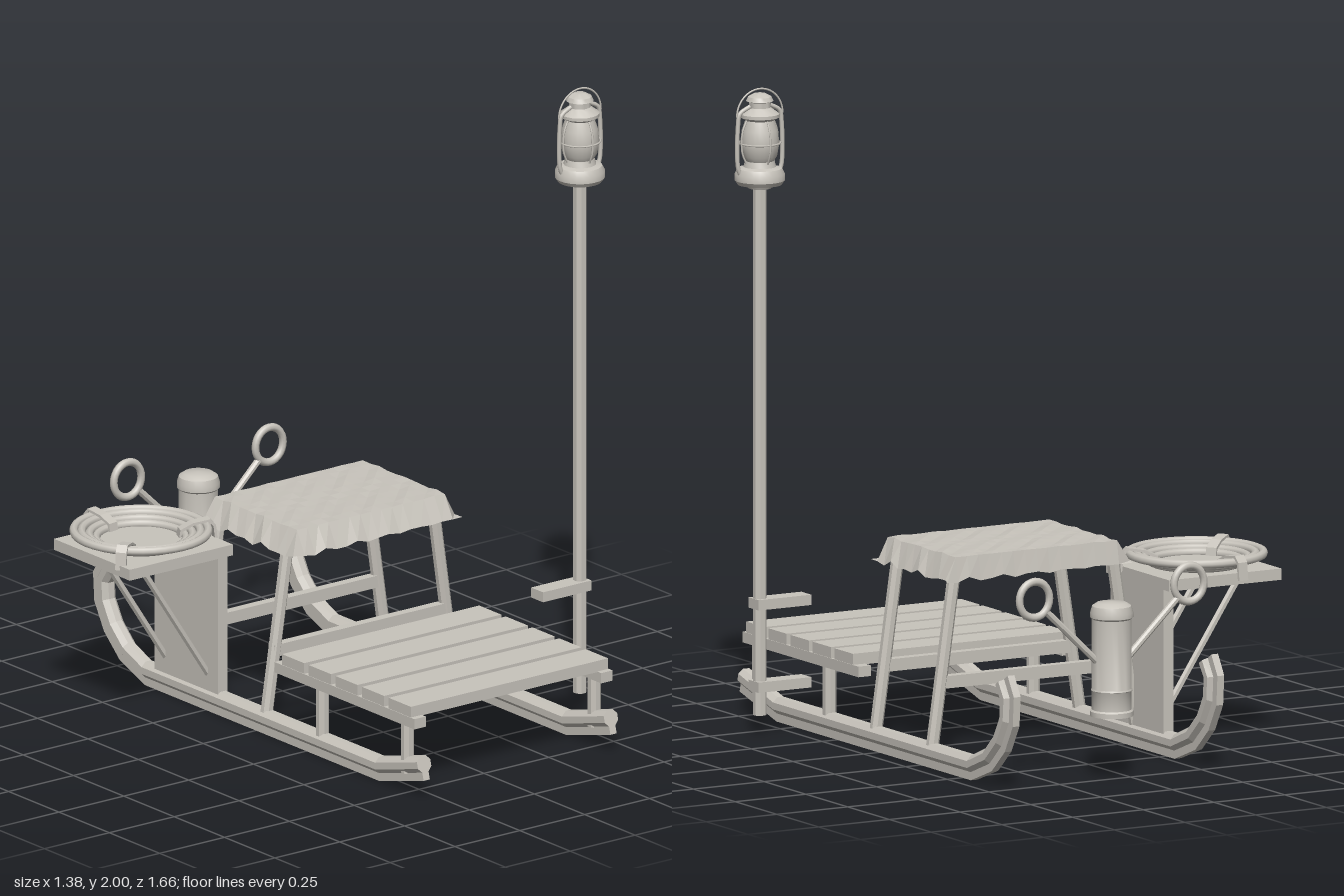
import * as THREE from 'three';
import { toCreasedNormals } from 'three/addons/utils/BufferGeometryUtils.js';

const grey = new THREE.MeshStandardMaterial({ color: 0xc8c4bc, side: THREE.DoubleSide });
grey.name = 'warmGrey';
const V = (x, y, z) => new THREE.Vector3(x, y, z);

function add(parent, name, geo, x = 0, y = 0, z = 0) {
  const m = new THREE.Mesh(geo, grey);
  m.name = name;
  m.position.set(x, y, z);
  parent.add(m);
  return m;
}

function group(parent, name, x = 0, y = 0, z = 0) {
  const g = new THREE.Group();
  g.name = name;
  g.position.set(x, y, z);
  parent.add(g);
  return g;
}

// box given by its min and max corners
function box(parent, name, x0, x1, y0, y1, z0, z1) {
  return add(parent, name, new THREE.BoxGeometry(x1 - x0, y1 - y0, z1 - z0),
    (x0 + x1) / 2, (y0 + y1) / 2, (z0 + z1) / 2);
}

// faceted bar between two points
function bar(parent, name, a, b, r, sides = 8) {
  const geo = new THREE.CylinderGeometry(r, r, a.distanceTo(b), sides, 1, false, Math.PI / sides);
  const m = add(parent, name, toCreasedNormals(geo, 0.6));
  m.position.copy(a).lerp(b, 0.5);
  m.quaternion.setFromUnitVectors(V(0, 1, 0), b.clone().sub(a).normalize());
  return m;
}

const lathe = (pts, seg = 24) => toCreasedNormals(
  new THREE.LatheGeometry(pts.map(p => new THREE.Vector2(...p)), seg), 0.6);

const tube = (pts, r, seg = 24, closed = false) =>
  new THREE.TubeGeometry(new THREE.CatmullRomCurve3(pts, closed), seg, r, 8, closed);

// sweep a profile [x, n] along a path of [z, y] points, with flat faces
function sweep(path, profile) {
  const rings = path.map((p, i) => {
    const a = path[Math.max(i - 1, 0)], b = path[Math.min(i + 1, path.length - 1)];
    const t = new THREE.Vector2(b[0] - a[0], b[1] - a[1]).normalize();
    return profile.map(([x, n]) => [x, p[1] - t.x * n, p[0] + t.y * n]);
  });
  const pos = [], k = profile.length, last = rings.length - 1;
  const tri = (a, b, c) => pos.push(...a, ...b, ...c);
  for (let i = 0; i < last; i++) for (let j = 0; j < k; j++) {
    const a = rings[i][j], b = rings[i][(j + 1) % k];
    const d = rings[i + 1][j], c = rings[i + 1][(j + 1) % k];
    tri(a, d, c);
    tri(a, c, b);
  }
  for (let j = 1; j < k - 1; j++) {
    tri(rings[0][0], rings[0][j], rings[0][j + 1]);
    tri(rings[last][0], rings[last][j + 1], rings[last][j]);
  }
  const g = new THREE.BufferGeometry();
  g.setAttribute('position', new THREE.Float32BufferAttribute(pos, 3));
  g.computeVertexNormals();
  return g;
}

// wavy cloth sheet with flared skirts
function clothGeometry() {
  const nx = 14, nz = 10;
  const xs = [-0.25, -0.205], zs = [-0.335, -0.322];
  for (let i = 1; i <= nx; i++) xs.push(-0.205 + 0.57 * i / nx);
  for (let i = 1; i <= nz; i++) zs.push(-0.322 + 0.407 * i / nz);
  xs.push(0.402);
  zs.push(0.125);
  let geo = new THREE.PlaneGeometry(1, 1, xs.length - 1, zs.length - 1).rotateX(-Math.PI / 2);
  const p = geo.attributes.position;
  for (let j = 0; j < zs.length; j++) for (let i = 0; i < xs.length; i++) {
    const edge = i === 0 || j === 0 || i === xs.length - 1 || j === zs.length - 1;
    const wave = Math.sin(i * 2.3 + j * 1.7) + Math.sin(i * 4.1 - j * 2.9);
    p.setXYZ(j * xs.length + i, xs[i], edge ? 0.575 + 0.006 * wave : 0.647 + 0.002 * wave, zs[j]);
  }
  geo = geo.toNonIndexed();
  geo.computeVertexNormals();
  return geo;
}

export function createModel() {
  const model = new THREE.Group();
  model.name = 'sledge';
  const sideX = [-0.285, 0.435];

  // runners with narrow blades beneath
  const path = [[0.82, 0.107], [0.61, 0.05], [-0.55, 0.05], [-0.65, 0.09], [-0.715, 0.15],
    [-0.755, 0.22], [-0.76, 0.285], [-0.73, 0.33]];
  const oct = [];
  for (let i = 0; i < 8; i++) {
    const a = (i + 0.5) * Math.PI / 4;
    oct.push([0.028 * Math.cos(a), 0.028 * Math.sin(a)]);
  }
  const blade = [[-0.012, -0.05], [0.012, -0.05], [0.012, -0.02], [-0.012, -0.02]];
  for (const x of sideX) {
    add(model, 'runner', sweep(path, oct), x);
    add(model, 'runnerBlade', sweep(path, blade), x);
    // deck rail and posts
    box(model, 'deckRail', x - 0.022, x + 0.022, 0.217, 0.25, 0.105, 0.8);
    for (const z of [0.737, 0.315]) bar(model, 'deckPost', V(x, 0.06, z), V(x, 0.225, z), 0.021);
  }

  // deck slats
  for (let i = 0; i < 5; i++) {
    const z = 0.14 + i * 0.1325;
    box(model, 'deckSlat', -0.305, 0.455, 0.248, 0.284, z, z + 0.11);
  }

  // bench frame with splayed legs
  const bench = group(model, 'bench');
  for (const z of [0.037, -0.3]) {
    bar(bench, 'benchLeg', V(-0.285, 0.06, z), V(-0.2, 0.61, z), 0.02);
    bar(bench, 'benchLeg', V(0.435, 0.06, z), V(0.355, 0.61, z), 0.02);
    box(bench, 'crossBar', -0.265, 0.412, 0.242, 0.28, z - 0.015, z + 0.015);
    box(bench, 'topBar', -0.21, 0.365, 0.59, 0.615, z - 0.017, z + 0.017);
  }
  box(bench, 'benchBoard', -0.205, 0.365, 0.612, 0.634, -0.318, 0.075);
  add(bench, 'benchCover', clothGeometry());

  // side panel, tray and braces
  const tray = group(model, 'sideTray');
  box(tray, 'sidePanel', -0.303, -0.267, 0.06, 0.52, -0.495, -0.18);
  box(tray, 'trayBoard', -0.663, -0.265, 0.515, 0.55, -0.532, -0.155);
  for (const z of [-0.45, -0.24]) {
    bar(tray, 'trayBrace', V(-0.56, 0.52, z), V(-0.295, 0.12, z), 0.011, 6);
  }

  // coil of rope held by three straps
  const coil = group(model, 'ropeCoil', -0.472, 0, -0.345);
  for (const [r, y] of [[0.205, 0.588], [0.181, 0.584], [0.158, 0.573], [0.138, 0.563]]) {
    add(coil, 'ropeRing', new THREE.TorusGeometry(r, 0.0135, 8, 40).rotateX(Math.PI / 2), 0, y, 0);
  }
  add(coil, 'coilBase', new THREE.CylinderGeometry(0.128, 0.128, 0.01, 32), 0, 0.553, 0);
  const strapShape = new THREE.Shape([[0.115, 0.55], [0.12, 0.583], [0.16, 0.602], [0.215, 0.61],
    [0.232, 0.59], [0.238, 0.535], [0.23, 0.535], [0.224, 0.586], [0.21, 0.602], [0.163, 0.594],
    [0.127, 0.577], [0.122, 0.55]].map(p => new THREE.Vector2(...p)));
  for (const a of [97, 217, 337]) {
    const g = new THREE.ExtrudeGeometry(strapShape, { depth: 0.034, bevelEnabled: false });
    add(coil, 'coilStrap', g.translate(0, 0, -0.017)).rotation.y = a * Math.PI / 180;
  }

  // hanging flask with two ringed arms
  const flask = group(model, 'flask', 0.075, 0, -0.765);
  add(flask, 'flaskBody', lathe([[0, 0.22], [0.055, 0.22], [0.055, 0.2], [0.066, 0.2], [0.066, 0.215],
    [0.061, 0.22], [0.061, 0.275], [0.064, 0.28], [0.061, 0.285], [0.061, 0.5], [0.066, 0.505],
    [0.066, 0.52], [0.06, 0.54], [0.045, 0.55], [0, 0.553]]));
  for (const s of [-1, 1]) {
    bar(flask, 'flaskArm', V(s * 0.04, 0.36, 0), V(s * 0.235, 0.545, 0), 0.011);
    const ring = add(flask, 'flaskRing', new THREE.TorusGeometry(0.053, 0.012, 8, 28), s * 0.273, 0.583, 0);
    ring.scale.y = 1.05;
  }

  // lantern pole and brackets
  const pole = group(model, 'lanternPole', 0.6, 0, 0.453);
  bar(pole, 'pole', V(0, 0.06, 0), V(0, 1.7, 0), 0.021);
  for (const y of [0.15, 0.405]) box(pole, 'poleBracket', -0.165, 0.022, y - 0.016, y + 0.016, -0.03, 0.03);

  // lantern body
  const lantern = group(pole, 'lantern');
  add(lantern, 'lanternBase', lathe([[0, 1.69], [0.035, 1.69], [0.04, 1.7], [0.068, 1.702], [0.077, 1.715],
    [0.077, 1.735], [0.068, 1.752], [0.05, 1.757], [0.045, 1.775], [0, 1.775]]));
  add(lantern, 'lanternGlobe', lathe([[0.04, 1.77], [0.053, 1.79], [0.06, 1.83], [0.055, 1.87], [0.043, 1.905]]));
  add(lantern, 'lanternCap', lathe([[0.043, 1.9], [0.06, 1.91], [0.06, 1.92], [0.04, 1.935], [0.033, 1.94],
    [0.033, 1.957], [0.042, 1.96], [0.036, 1.973], [0.018, 1.983], [0, 1.985]]));
  add(lantern, 'guardRing', new THREE.TorusGeometry(0.063, 0.003, 6, 28).rotateX(Math.PI / 2), 0, 1.83, 0);

  // globe guard wires, side tubes and carrying loop
  for (let i = 0; i < 4; i++) {
    const wire = add(lantern, 'guardWire', tube([V(0.048, 1.77, 0), V(0.061, 1.8, 0), V(0.064, 1.83, 0),
      V(0.06, 1.87, 0), V(0.045, 1.905, 0)], 0.003, 12));
    wire.rotation.y = i * Math.PI / 2;
  }
  for (const s of [-1, 1]) {
    add(lantern, 'sideTube', tube([V(s * 0.066, 1.73, 0), V(s * 0.077, 1.76, 0), V(s * 0.077, 1.89, 0),
      V(s * 0.07, 1.925, 0), V(s * 0.035, 1.945, 0)], 0.007));
  }
  add(lantern, 'carryLoop', new THREE.TorusGeometry(0.081, 0.003, 6, 28, Math.PI), 0, 1.916, 0);
  return model;
}
